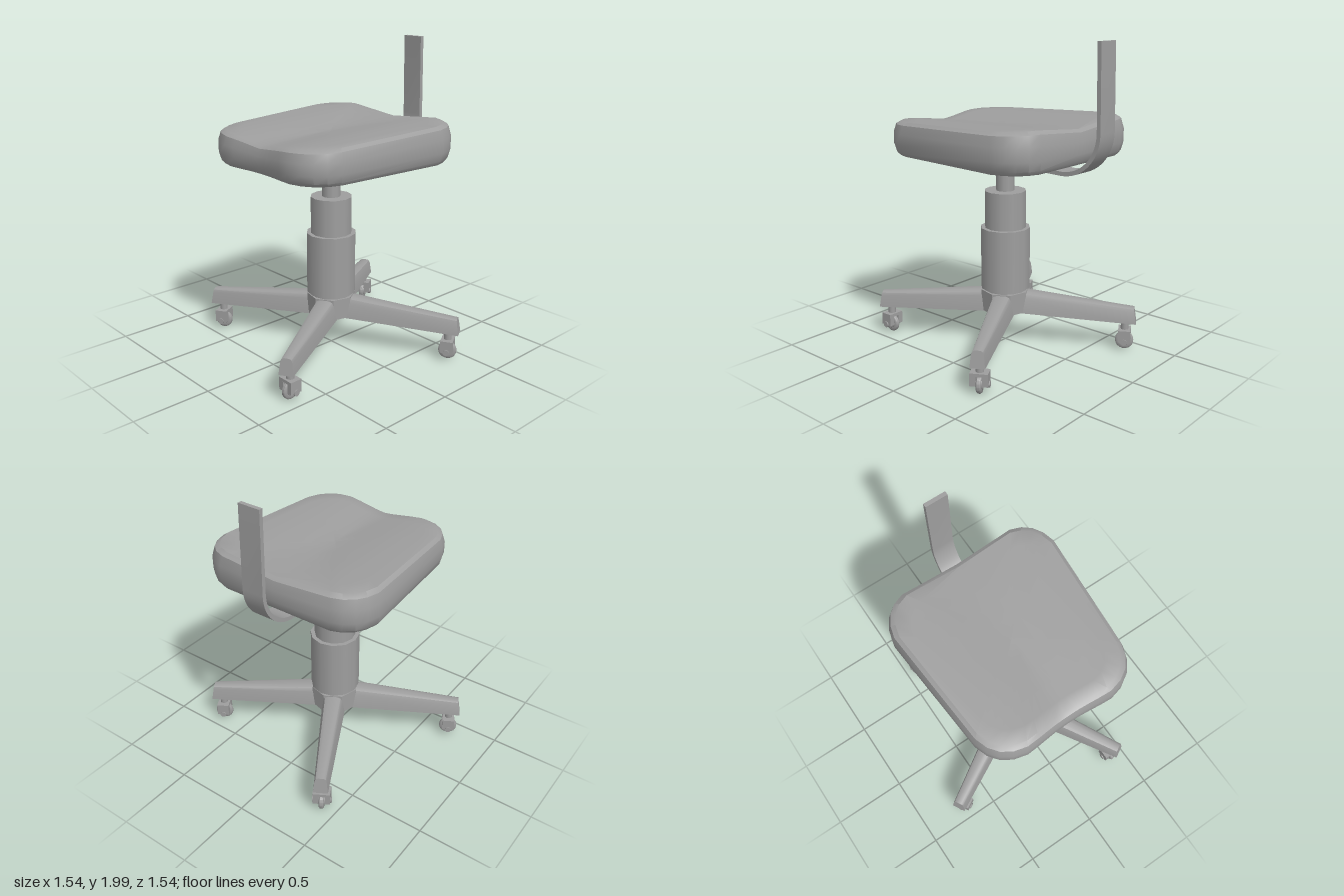
import * as THREE from 'three';
import { toCreasedNormals } from 'three/addons/utils/BufferGeometryUtils.js';

const grey = new THREE.MeshStandardMaterial({ color: 0x9e9e9e });

function add(parent, name, geometry, x = 0, y = 0, z = 0) {
  const mesh = new THREE.Mesh(geometry, grey);
  mesh.name = name;
  mesh.position.set(x, y, z);
  parent.add(mesh);
  return mesh;
}

// Skin over closed rings of [x, y, z], counter-clockwise seen from the last ring; both ends capped
function loft(rings, crease) {
  const n = rings[0].length, index = [];
  const points = rings.flat();
  const centre = (ring) => [0, 1, 2].map((k) => ring.reduce((s, p) => s + p[k], 0) / n);
  const first = points.length, last = first + 1, top = (rings.length - 1) * n;
  points.push(centre(rings[0]), centre(rings[rings.length - 1]));
  for (let j = 0; j < n; j++) {
    const k = (j + 1) % n;
    for (let i = 0; i < rings.length - 1; i++) {
      const a = i * n + j, b = i * n + k;
      index.push(a, b, b + n, a, b + n, a + n);
    }
    index.push(first, k, j, last, top + j, top + k);
  }
  const g = new THREE.BufferGeometry();
  g.setAttribute('position', new THREE.Float32BufferAttribute(points.flat(), 3));
  g.setIndex(index);
  return toCreasedNormals(g, crease);
}

// Rounded seat plan, wider at the back, with a slightly hollow front edge
function seatOutline() {
  const path = new THREE.Path();
  path.moveTo(0, 0.585);
  path.bezierCurveTo(0.12, 0.585, 0.18, 0.602, 0.3, 0.608);
  path.quadraticCurveTo(0.49, 0.585, 0.53, 0.4);
  path.lineTo(0.588, -0.39);
  path.quadraticCurveTo(0.56, -0.57, 0.4, -0.605);
  path.lineTo(0, -0.605);
  const half = path.getPoints(4);
  const mirrored = half.slice(1, -1).reverse().map((p) => new THREE.Vector2(-p.x, p.y));
  return [...half, ...mirrored];
}

function seatGeometry() {
  const outline = seatOutline();
  // Saddle-shaped top: rises to the back and to both sides
  const topY = (x, z) => 1.46 - 0.036 * z + 0.04 * THREE.MathUtils.smoothstep(Math.abs(x), -0.08, 0.36);
  // [scale of the plan, height fraction]
  const profile = [[0.5, 0], [0.95, 0], [0.98, 0.1], [1, 0.32], [1, 0.66], [0.975, 0.92],
    [0.93, 1], [0.8, 1], [0.6, 1], [0.4, 1], [0.2, 1], [0.02, 1]];
  return loft(profile.map(([s, f]) => outline.map((p) => {
    const x = p.x * s, z = p.y * s;
    return [x, 1.273 + (topY(x, z) - 1.273) * f, z];
  })), 0.55);
}

// Bent flat bar, drawn as a side profile of constant thickness
function barGeometry() {
  const path = new THREE.CurvePath();
  const v = (x, y) => new THREE.Vector2(x, y);
  path.add(new THREE.LineCurve(v(0.15, 1.228), v(0.5, 1.218)));
  path.add(new THREE.CubicBezierCurve(v(0.5, 1.218), v(0.64, 1.218), v(0.757, 1.33), v(0.758, 1.48)));
  path.add(new THREE.LineCurve(v(0.758, 1.48), v(0.748, 2)));
  const mid = path.getPoints(12);
  const side = (d) => mid.map((p, i) => {
    const a = mid[Math.max(i - 1, 0)], b = mid[Math.min(i + 1, mid.length - 1)];
    const t = b.clone().sub(a).normalize();
    return v(p.x - t.y * d, p.y + t.x * d);
  });
  const shape = new THREE.Shape([...side(-0.013), ...side(0.013).reverse()]);
  const g = new THREE.ExtrudeGeometry(shape, { depth: 0.146, bevelEnabled: false });
  g.translate(0, 0, -0.073).rotateY(Math.PI / 2);
  return toCreasedNormals(g, 0.5);
}

// Tapered leg pointing along +z, with a rounded-off top
function legGeometry() {
  const half = [[1, 0], [0.82, 0.75], [0.68, 0.93], [0.38, 1]];
  const outline = [...half, ...half.map(([x, f]) => [-x, f]).reverse()];
  const section = (w, low, high, z, slant) =>
    outline.map(([x, f]) => [x * w, low + (high - low) * f, z - slant * f]);
  return loft([section(0.085, 0.228, 0.37, 0, 0), section(0.08, 0.226, 0.365, 0.1, 0),
    section(0.046, 0.188, 0.292, 0.862, 0.016)], 0.7);
}

function makeCaster() {
  const caster = new THREE.Group();
  caster.name = 'caster';
  add(caster, 'casterStem', new THREE.CylinderGeometry(0.025, 0.025, 0.07, 12), 0, 0.165, 0);
  add(caster, 'forkTop', new THREE.BoxGeometry(0.11, 0.02, 0.08), 0, 0.13, 0);
  for (const s of [-1, 1]) {
    add(caster, 'forkSide', new THREE.BoxGeometry(0.034, 0.062, 0.08), s * 0.038, 0.091, 0);
    add(caster, 'axleCap', new THREE.CylinderGeometry(0.02, 0.02, 0.045, 12).rotateZ(Math.PI / 2),
      s * 0.039, 0.064, 0);
  }
  const tyre = [[0, -0.02], [0.032, -0.02], [0.034, -0.015], [0.052, -0.015], [0.059, -0.008],
    [0.059, 0.008], [0.052, 0.015], [0.034, 0.015], [0.032, 0.02], [0, 0.02]]
    .map(([r, y]) => new THREE.Vector2(r, y));
  const wheel = toCreasedNormals(new THREE.LatheGeometry(tyre, 18).rotateZ(Math.PI / 2), 0.8);
  add(caster, 'wheel', wheel, 0, 0.064, 0);
  return caster;
}

export function createModel() {
  const model = new THREE.Group();
  model.name = 'swivelChair';

  // Seat, mounting block and back bar
  add(model, 'seat', seatGeometry());
  const rect = (x, y, z) => [[-x, y, z], [x, y, z], [x, y, -z], [-x, y, -z]];
  add(model, 'seatMount', loft([rect(0.135, 1.2, 0.185), rect(0.225, 1.277, 0.255)], 0.1));
  add(model, 'backBar', barGeometry());

  // Telescopic column: [name, radius, bottom, top]
  const column = [
    ['columnFoot', 0.14, 0.365, 0.39], ['lowerSleeve', 0.162, 0.382, 0.79],
    ['middleSleeve', 0.135, 0.78, 1.033], ['piston', 0.06, 1.02, 1.2], ['pistonCollar', 0.072, 1.165, 1.203],
  ];
  for (const [name, r, low, high] of column) {
    add(model, name, new THREE.CylinderGeometry(r, r, high - low, 12), 0, (low + high) / 2, 0);
  }

  // Eight-sided hub whose flats fill the corners between the legs, with a bottom cap
  const hub = toCreasedNormals(new THREE.CylinderGeometry(0.16, 0.16, 0.138, 8), 0.3);
  add(model, 'hub', hub, 0, 0.298, 0).rotation.y = THREE.MathUtils.degToRad(7.5);
  add(model, 'hubCap', new THREE.CylinderGeometry(0.08, 0.07, 0.03, 16), 0, 0.215, 0);

  // Four legs, each with a caster; the front one is swivelled straight ahead
  [-30, 0, 0, 0].forEach((turn, i) => {
    const arm = new THREE.Group();
    arm.name = 'legWithCaster';
    arm.rotation.y = THREE.MathUtils.degToRad(30 + 90 * i);
    add(arm, 'leg', legGeometry());
    const caster = makeCaster();
    caster.position.z = 0.79;
    caster.rotation.y = THREE.MathUtils.degToRad(turn);
    arm.add(caster);
    model.add(arm);
  });
  return model;
}
